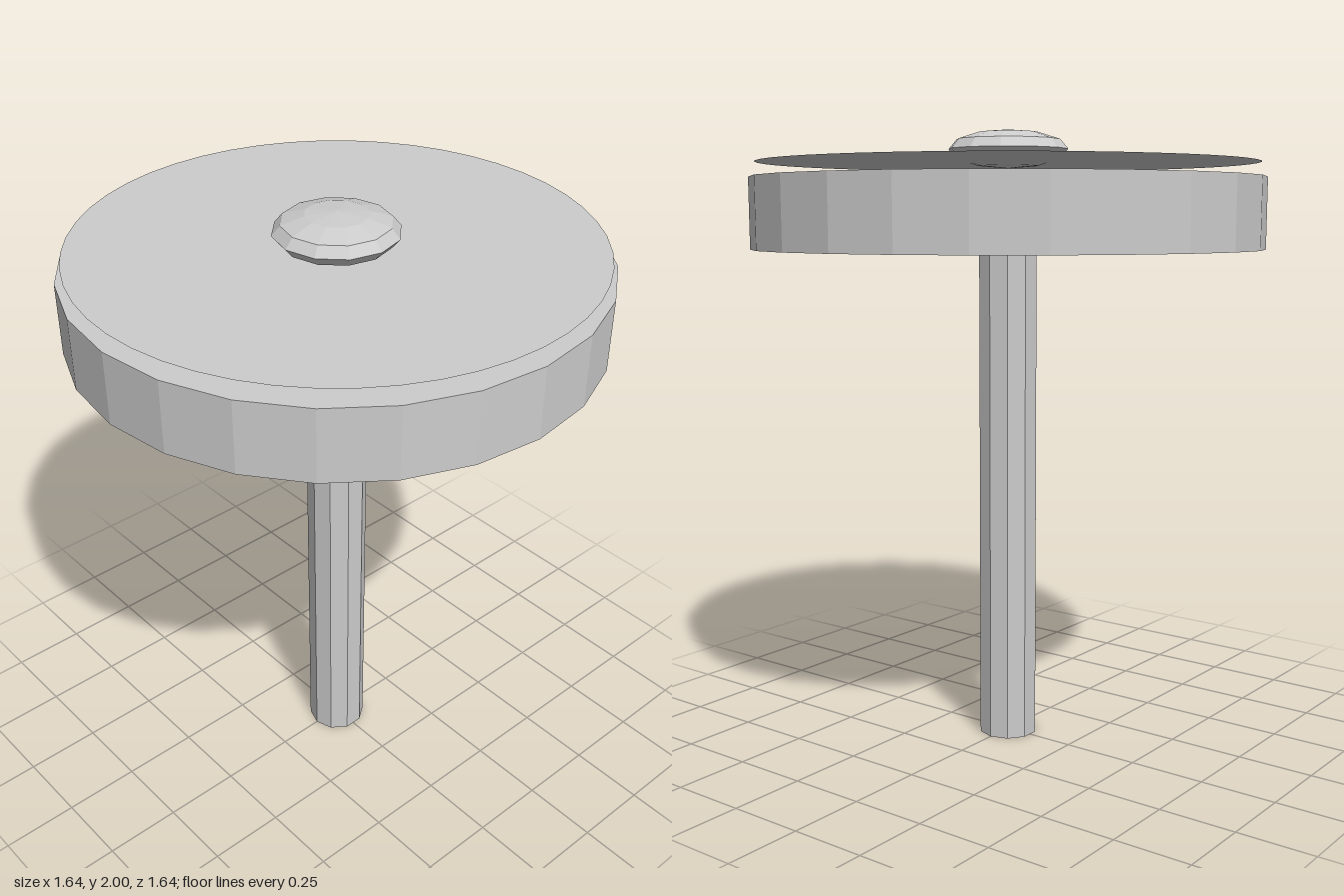
import * as THREE from 'three';

export function createModel() {
  const group = new THREE.Group();
  // Double sided for the paper-thin disc
  const grey = new THREE.MeshStandardMaterial({ color: 0xcccccc, flatShading: true, side: THREE.DoubleSide });
  grey.name = 'plain grey';

  const add = (name, geometry, y) => {
    const mesh = new THREE.Mesh(geometry, grey);
    mesh.name = name;
    mesh.position.y = y;
    group.add(mesh);
    return mesh;
  };

  // Ten-sided post, with corners on the x axis
  const post = add('post', new THREE.CylinderGeometry(0.097, 0.097, 1.63, 10), 0.815);
  post.rotation.y = Math.PI / 2;

  // Broad round top
  add('tableTop', new THREE.CylinderGeometry(0.82, 0.82, 0.226, 24), 1.736);

  // Paper-thin disc raised just above the top
  const disc = add('upperDisc', new THREE.CircleGeometry(0.8, 48), 1.895);
  disc.rotation.x = -Math.PI / 2;

  // Flattened faceted knob resting through the disc
  const knob = add('knob', new THREE.SphereGeometry(0.193, 12, 6), 1.939);
  knob.scale.y = 0.061 / 0.193;

  return group;
}
